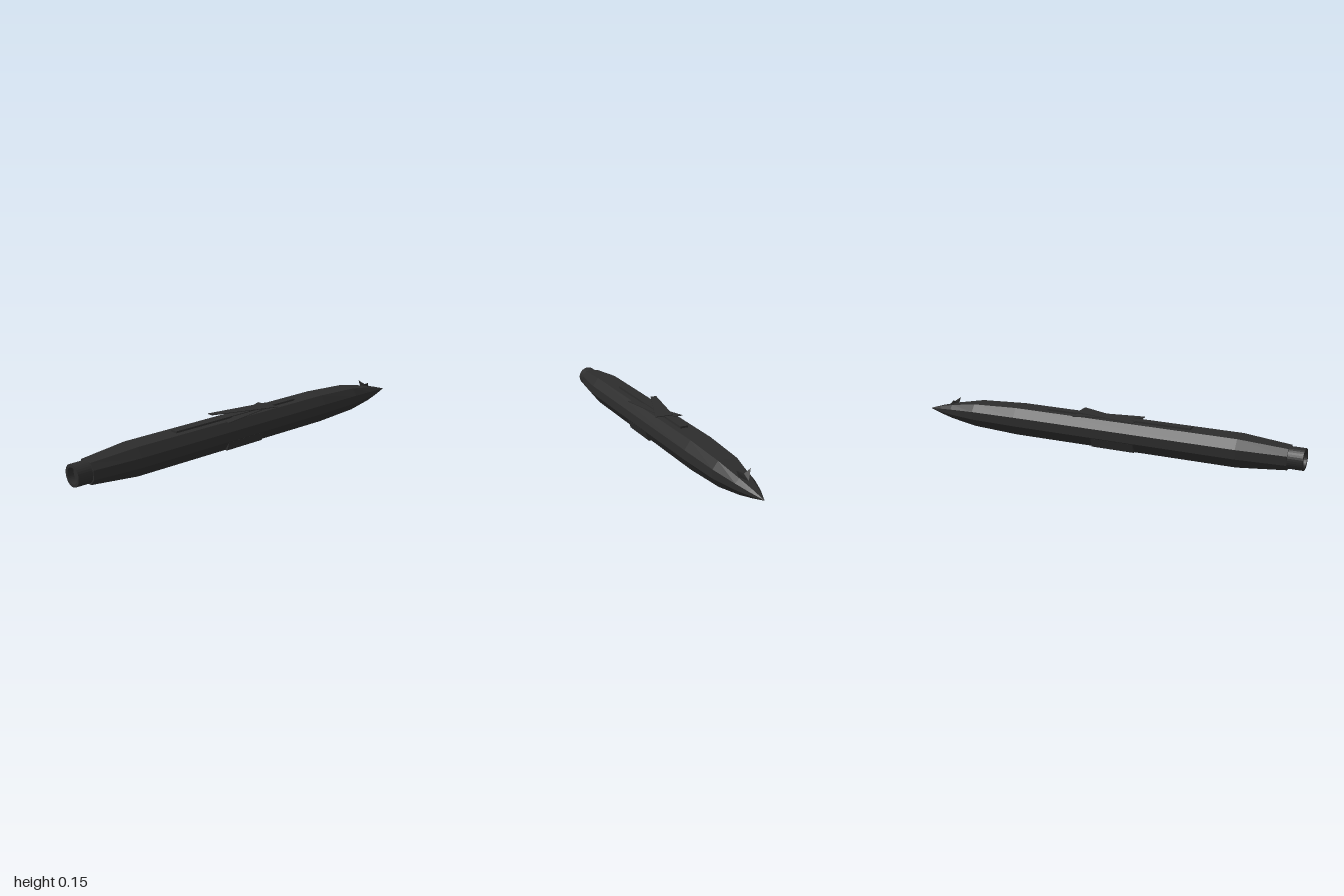
import * as THREE from 'three';

const dark = new THREE.MeshStandardMaterial({ color: 0x2c2c2c, flatShading: true });
dark.name = 'dark grey';
const darkThin = new THREE.MeshStandardMaterial({ color: 0x2c2c2c, flatShading: true, side: THREE.DoubleSide });
darkThin.name = 'dark grey thin';

function add(group, name, geometry, material = dark) {
  const mesh = new THREE.Mesh(geometry, material);
  mesh.name = name;
  group.add(mesh);
  return mesh;
}

// Geometry from a list of triangles of points
function triangles(list) {
  const g = new THREE.BufferGeometry();
  g.setAttribute('position', new THREE.Float32BufferAttribute(list.flat(2), 3));
  g.computeVertexNormals();
  return g;
}

// Eight-sided cross-section, counter-clockwise as seen from +z
function section([z, w, top, bottom, topW, bottomW, high, low]) {
  return [[w, low], [w, high], [topW, top], [-topW, top], [-w, high], [-w, low], [-bottomW, bottom], [bottomW, bottom]]
    .map(([x, y]) => [x, y, z]);
}

function fuselage() {
  const rings = [
    [0.93, 0.055, 0.122, 0.022, 0.034, 0.032, 0.093, 0.05],
    [0.7, 0.079, 0.14, 0.003, 0.05, 0.045, 0.097, 0.052],
    [-0.45, 0.079, 0.14, 0, 0.05, 0.045, 0.097, 0.052],
    [-0.7, 0.07, 0.127, 0.01, 0.045, 0.04, 0.092, 0.052],
    [-0.85, 0.046, 0.1, 0.028, 0.027, 0.026, 0.08, 0.053],
    [-0.93, 0.026, 0.081, 0.042, 0.014, 0.014, 0.07, 0.054],
    [-1, 0.002, 0.06, 0.056, 0.001, 0.001, 0.059, 0.057],
  ].map(section);
  const tris = [];
  for (let i = 0; i < rings.length - 1; i++) {
    const a = rings[i], b = rings[i + 1];
    for (let j = 0; j < 8; j++) {
      const k = (j + 1) % 8;
      tris.push([a[j], b[j], a[k]], [a[k], b[j], b[k]]);
    }
  }
  const first = rings[0], last = rings[rings.length - 1];
  for (let j = 1; j < 7; j++) {
    tris.push([first[0], first[j], first[j + 1]], [last[0], last[j + 1], last[j]]);
  }
  return triangles(tris);
}

// Flat extrusion of x, y points
function extrude(points, depth) {
  const shape = new THREE.Shape(points.map(([x, y]) => new THREE.Vector2(x, y)));
  return new THREE.ExtrudeGeometry(shape, { depth, bevelEnabled: false });
}

export function createModel() {
  const model = new THREE.Group();
  model.name = 'model';
  add(model, 'fuselage', fuselage());

  // Tail nozzle with a recessed centre
  const profile = [[0.051, 0.9], [0.051, 1], [0.037, 1], [0.037, 0.97], [0, 0.97]]
    .map(([r, z]) => new THREE.Vector2(r, z));
  const nozzle = add(model, 'nozzle', new THREE.LatheGeometry(profile, 32).rotateX(Math.PI / 2));
  nozzle.position.y = 0.073;

  // Long rail along the back
  const rail = add(model, 'rail', new THREE.BoxGeometry(0.038, 0.014, 0.75));
  rail.position.set(0, 0.142, 0.09);

  // Wing pivot between the two folded blades
  const pivot = add(model, 'wingPivot', new THREE.CylinderGeometry(0.018, 0.018, 0.012, 16));
  pivot.position.set(0, 0.147, -0.06);

  // Two folded wings crossing like scissors
  for (const [side, y, name] of [[1, 0.151, 'upperWing'], [-1, 0.1425, 'lowerWing']]) {
    const outline = [[-0.077, 0.2], [-0.047, 0.2], [0.07, -0.12], [-0.021, -0.12]].map(([x, z]) => [side * x, -z]);
    const wing = add(model, name, extrude(outline, 0.003).rotateX(-Math.PI / 2));
    wing.position.y = y;
  }

  for (const side of [1, -1]) {
    const label = side > 0 ? 'left' : 'right';
    // Long pods on the lower side faces
    const pod = [[0.077, 0.048], [0.055, 0.048], [0.044, 0.004], [0.058, 0.002], [0.064, 0.006]]
      .map(([x, y]) => [side * x, y]);
    add(model, label + 'Pod', extrude(pod, 0.22)).position.z = -0.02;

    // Small raised fins behind the nose
    add(model, label + 'NoseFin', triangles([
      [[0, 0.094, -0.88], [side * 0.034, 0.13, -0.835], [0, 0.112, -0.84]],
      [[0, 0.094, -0.88], [side * 0.025, 0.1, -0.84], [side * 0.034, 0.13, -0.835]],
    ]), darkThin);
  }
  return model;
}
